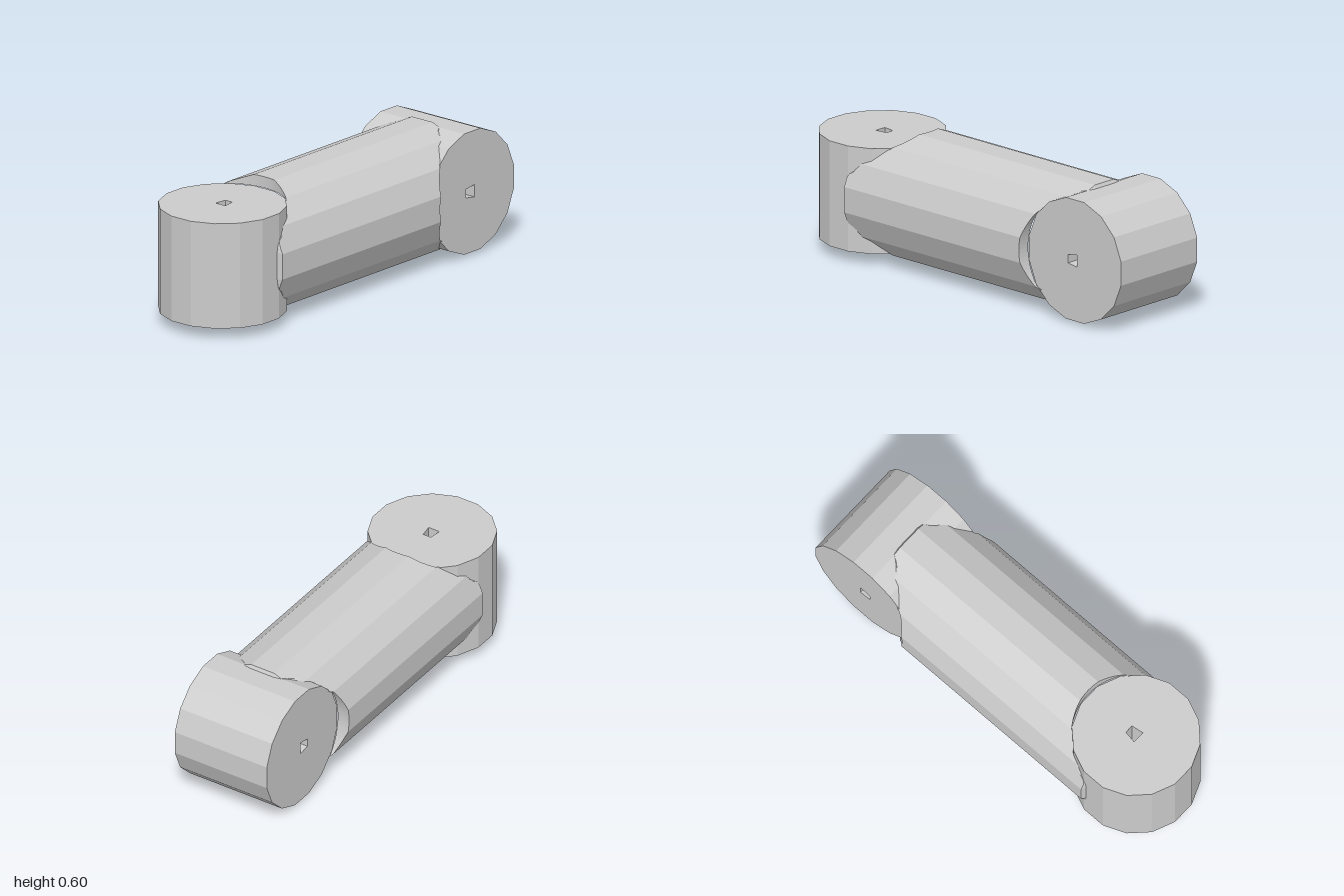
import * as THREE from 'three';

const Y = 0.302, HUB_Z = 0.715, HUB_R = 0.291, HUB_H = 0.248, SIDES = 16;

// corner of a regular polygon with flats facing the axes
function corner(i, rx, ry) {
  const a = ((i + 0.5) / SIDES) * Math.PI * 2;
  return new THREE.Vector2(Math.cos(a) * rx, Math.sin(a) * ry);
}

// faceted drum with a small square bore, upright along y
function hubGeometry() {
  const shape = new THREE.Shape(Array.from({ length: SIDES }, (_, i) => corner(i, HUB_R, HUB_R)));
  const h = 0.029, o = 0.015;
  shape.holes.push(new THREE.Path([
    new THREE.Vector2(-h, o - h), new THREE.Vector2(-h * 0.7, o + h),
    new THREE.Vector2(h * 0.7, o + h), new THREE.Vector2(h, o - h),
  ]));
  const g = new THREE.ExtrudeGeometry(shape, { depth: HUB_H * 2, bevelEnabled: false });
  return g.translate(0, 0, -HUB_H).rotateX(-Math.PI / 2);
}

// where the beam meets a drum, for a point at offset s across that drum
const meet = (s) => HUB_Z - Math.sqrt(Math.max(HUB_R * HUB_R - s * s, 0.055 * 0.055));

// end of the beam: u runs across the drum, v along its axis
function endPoint(u, v) {
  const z = meet(u);
  if (Math.abs(v) > HUB_H) return { z, u, v: Math.sign(v) * HUB_H, zi: z };
  return { z, u: THREE.MathUtils.clamp(u, -0.265, 0.265), v, zi: z + 0.02 };
}

// round beam, scalloped around both drums
function beamGeometry() {
  const outline = [], steps = 6;
  for (let i = 0; i < SIDES; i++) {
    const a = corner(i, 0.314, 0.307), b = corner(i + 1, 0.314, 0.307);
    for (let k = 0; k < steps; k++) outline.push(a.clone().lerp(b, k / steps));
  }
  const rings = [[], [], [], []];
  for (const p of outline) {
    const f = endPoint(p.x, p.y), b = endPoint(p.y, p.x);
    rings[0].push([f.u, f.v, f.zi]);
    rings[1].push([p.x, p.y, f.z]);
    rings[2].push([p.x, p.y, -b.z]);
    rings[3].push([b.v, b.u, -b.zi]);
  }
  const pos = [], n = outline.length;
  for (let r = 0; r < 3; r++) {
    for (let i = 0; i < n; i++) {
      const j = (i + 1) % n;
      const a = rings[r][i], b = rings[r][j], c = rings[r + 1][i], d = rings[r + 1][j];
      pos.push(...a, ...c, ...b, ...b, ...c, ...d);
    }
  }
  const g = new THREE.BufferGeometry();
  g.setAttribute('position', new THREE.Float32BufferAttribute(pos, 3));
  g.computeVertexNormals();
  return g;
}

export function createModel() {
  const group = new THREE.Group();
  group.name = 'linkArm';
  const grey = new THREE.MeshStandardMaterial({ color: 0xcccccc });
  grey.name = 'lightGrey';
  grey.flatShading = true;

  const add = (name, geometry, z) => {
    const mesh = new THREE.Mesh(geometry, grey);
    mesh.name = name;
    mesh.position.set(0, Y, z);
    group.add(mesh);
  };

  add('beam', beamGeometry(), 0);
  add('frontHub', hubGeometry(), HUB_Z);
  // rear drum lies on its side
  add('rearHub', hubGeometry().rotateY(Math.PI).rotateZ(Math.PI / 2), -HUB_Z);
  return group;
}
